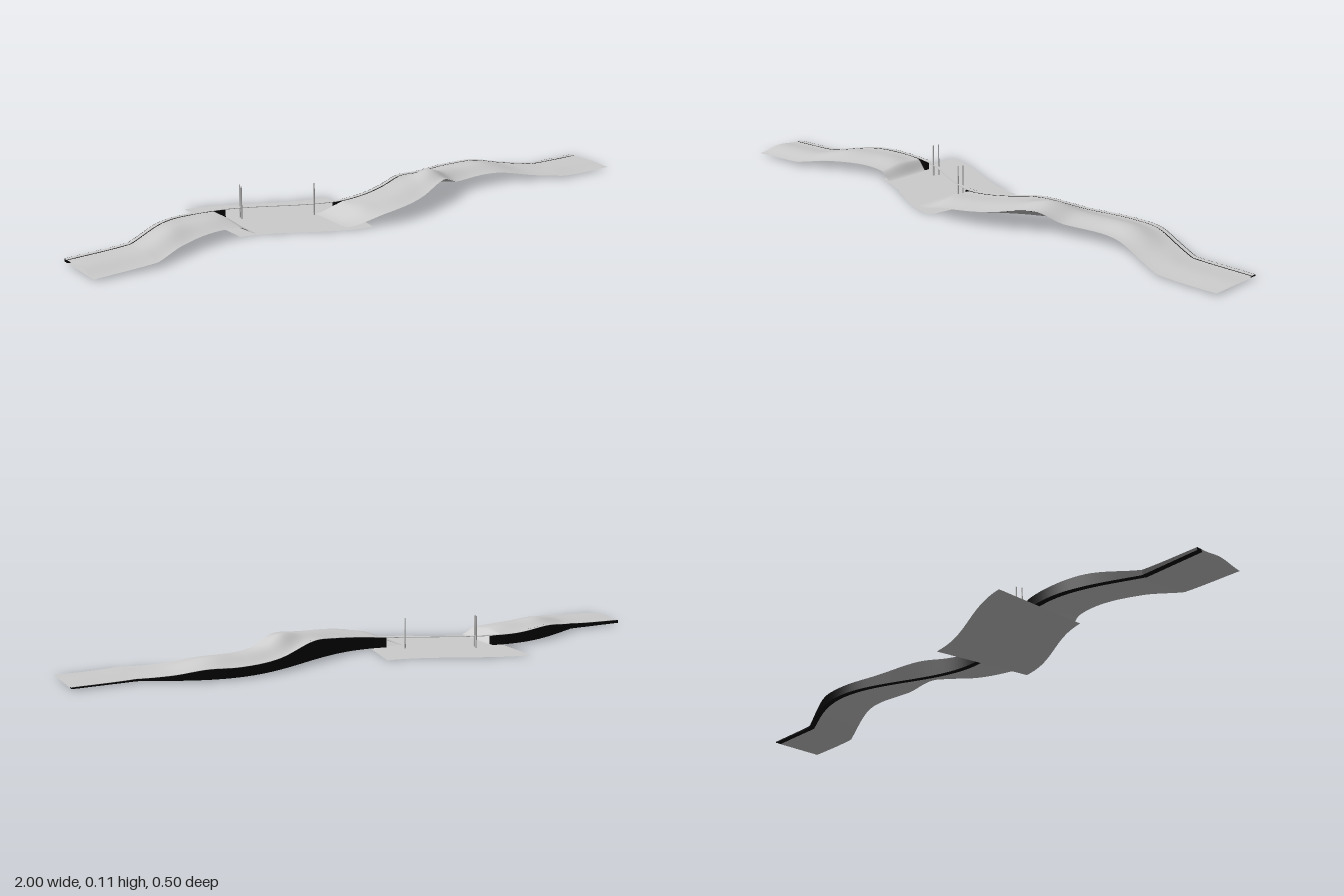
import * as THREE from 'three';

// Smooth curve through [x, value] pairs
function profile(points) {
  const slope = (i) => {
    const a = points[Math.max(i - 1, 0)], b = points[Math.min(i + 1, points.length - 1)];
    return (b[1] - a[1]) / (b[0] - a[0]);
  };
  return (x) => {
    let i = 0;
    while (i < points.length - 2 && x > points[i + 1][0]) i++;
    const [x0, y0] = points[i], [x1, y1] = points[i + 1];
    const w = x1 - x0, t = (x - x0) / w, t2 = t * t, t3 = t2 * t;
    const y = (2 * t3 - 3 * t2 + 1) * y0 + (t3 - 2 * t2 + t) * w * slope(i)
      + (3 * t2 - 2 * t3) * y1 + (t3 - t2) * w * slope(i + 1);
    return Math.max(y, BASE);
  };
}

const BASE = 0.005, WIDTH = 0.19, ROAD = 0.02;

// Height of the crest, the open front edge and the road, along x
const crest = profile([[-1, 0.02], [-0.8, 0.027], [-0.68, 0.047], [-0.6, 0.045], [-0.46, 0.04],
  [-0.41, 0.005], [-0.15, 0.005], [-0.06, 0.04], [0, 0.047], [0.1, 0.057], [0.2, 0.069],
  [0.29, 0.084], [0.37, 0.058], [0.45, 0.05], [0.57, 0.05], [0.7, 0.02], [0.85, 0.012], [1, 0.01]]);
const rim = profile([[-1, 0.006], [-0.8, 0.015], [-0.68, 0.03], [-0.46, 0.03], [-0.41, 0.005],
  [-0.15, 0.005], [-0.02, 0.035], [0.15, 0.052], [0.29, 0.07], [0.38, 0.04], [0.57, 0.035],
  [0.7, 0.015], [0.85, 0.006], [1, 0.006]]);
const road = profile([[-1, 0.014], [-0.8, 0.022], [-0.65, 0.043], [-0.5, 0.038], [-0.4, 0.037],
  [-0.1, 0.037], [0, 0.045], [0.1, 0.056], [0.2, 0.065], [0.35, 0.04], [0.5, 0.035],
  [0.6, 0.036], [0.7, 0.02], [0.8, 0.011], [1, 0.009]]);

// Winding line of the back edge, straight towards both ends
function backZ(x) {
  const z = -0.022 + 0.078 * Math.cos(2 * Math.PI * x);
  return Math.abs(x) > 0.5 ? Math.min(z, 0) : z;
}

// Surface through the cross-sections section(x) = [[y, z, shiftX], ...]
function loft(x0, x1, section, steps, capped = false) {
  const pos = [], idx = [];
  let n = 0;
  for (let i = 0; i <= steps; i++) {
    const x = x0 + (x1 - x0) * i / steps;
    const ring = section(x);
    n = ring.length;
    for (const [y, z, dx = 0] of ring) pos.push(x + dx, y, z);
  }
  for (let i = 0; i < steps; i++) {
    for (let j = 0; j < n - 1; j++) {
      const a = i * n + j, b = a + 1, c = a + n, d = c + 1;
      idx.push(a, b, c, b, d, c);
    }
  }
  if (capped) {
    const e = steps * n;
    idx.push(0, 2, 1, 0, 3, 2, e, e + 1, e + 2, e, e + 2, e + 3);
  }
  let g = new THREE.BufferGeometry();
  g.setAttribute('position', new THREE.Float32BufferAttribute(pos, 3));
  g.setIndex(idx);
  if (capped) g = g.toNonIndexed();
  g.computeVertexNormals();
  return g;
}

// Rectangular section following the winding line
function bar(z0, z1, low, high) {
  return (x) => {
    const z = backZ(x), a = low(x), b = high(x);
    return [[a, z + z0], [b, z + z0], [b, z + z1], [a, z + z1], [a, z + z0]];
  };
}

// Rounded hill from the roadside over the crest to the front edge
function hill(x) {
  const z = backZ(x), start = Math.min(road(x), crest(x)), top = crest(x), end = rim(x);
  const ring = [], N = 16;
  for (let j = 0; j <= N; j++) {
    const t = j / N;
    const arch = Math.sin(Math.PI * t);
    const line = start + (end - start) * t;
    ring.push([line + Math.max(top - (start + end) / 2, 0) * arch * arch,
      z + 0.0185 + (WIDTH - 0.0185) * t]);
  }
  return ring;
}

// Underside sloping from the front edge back to the foot of the wall
function underside(x) {
  const z = backZ(x);
  return [[rim(x) - 0.0005, z + WIDTH], [BASE - 0.0005, z + ROAD]];
}

export function createModel() {
  const group = new THREE.Group();
  const make = (name, color, side = THREE.DoubleSide) => {
    const m = new THREE.MeshStandardMaterial({ color, side });
    m.name = name;
    return m;
  };
  const ground = make('pale grey', 0xcccccc);
  const black = make('black', 0x050505);

  const add = (name, geometry, material) => {
    const mesh = new THREE.Mesh(geometry, material);
    mesh.name = name;
    group.add(mesh);
    return mesh;
  };

  // Two banks of land, each with its retaining wall and road
  const banks = [
    { side: 'right', land: [-1, -0.41], wall: [-1, -0.415] },
    { side: 'left', land: [-0.15, 1], wall: [-0.085, 1] },
  ];
  for (const { side, land, wall } of banks) {
    add(side + 'Hill', loft(...land, hill, 120), ground);
    add(side + 'Underside', loft(...land, underside, 100), ground);
    add(side + 'RetainingWall',
      loft(...wall, bar(0, ROAD, () => BASE, (x) => road(x)), 100, true), black);
    add(side + 'Road',
      loft(...wall, bar(0.003, 0.0165, (x) => road(x) - 0.001, (x) => road(x) + 0.001), 100, true), ground);
  }

  // Flat river sheet under the gap
  add('river', loft(-0.46, -0.02, (x) => {
    const z = backZ(x), u = (x + 0.46) / 0.44;
    return [[0, z - 0.155, 0.01 * u], [0, z + WIDTH, -0.05 * u]];
  }, 40), ground);

  // Narrow footbridge
  add('bridgeDeck', loft(-0.415, -0.085,
    bar(0.002, 0.014, (x) => road(x) - 0.001, (x) => road(x) + 0.001), 40, true), ground);

  // Bridge posts in pairs
  const posts = [
    [-0.362, -0.06, 0.108], [-0.356, -0.079, 0.108],
    [-0.149, 0.035, 0.1], [-0.141, 0.021, 0.1],
  ];
  for (const [x, z, h] of posts) {
    const post = add('bridgePost', new THREE.CylinderGeometry(0.002, 0.003, h, 8), ground);
    post.position.set(x, h / 2, z);
  }
  return group;
}
